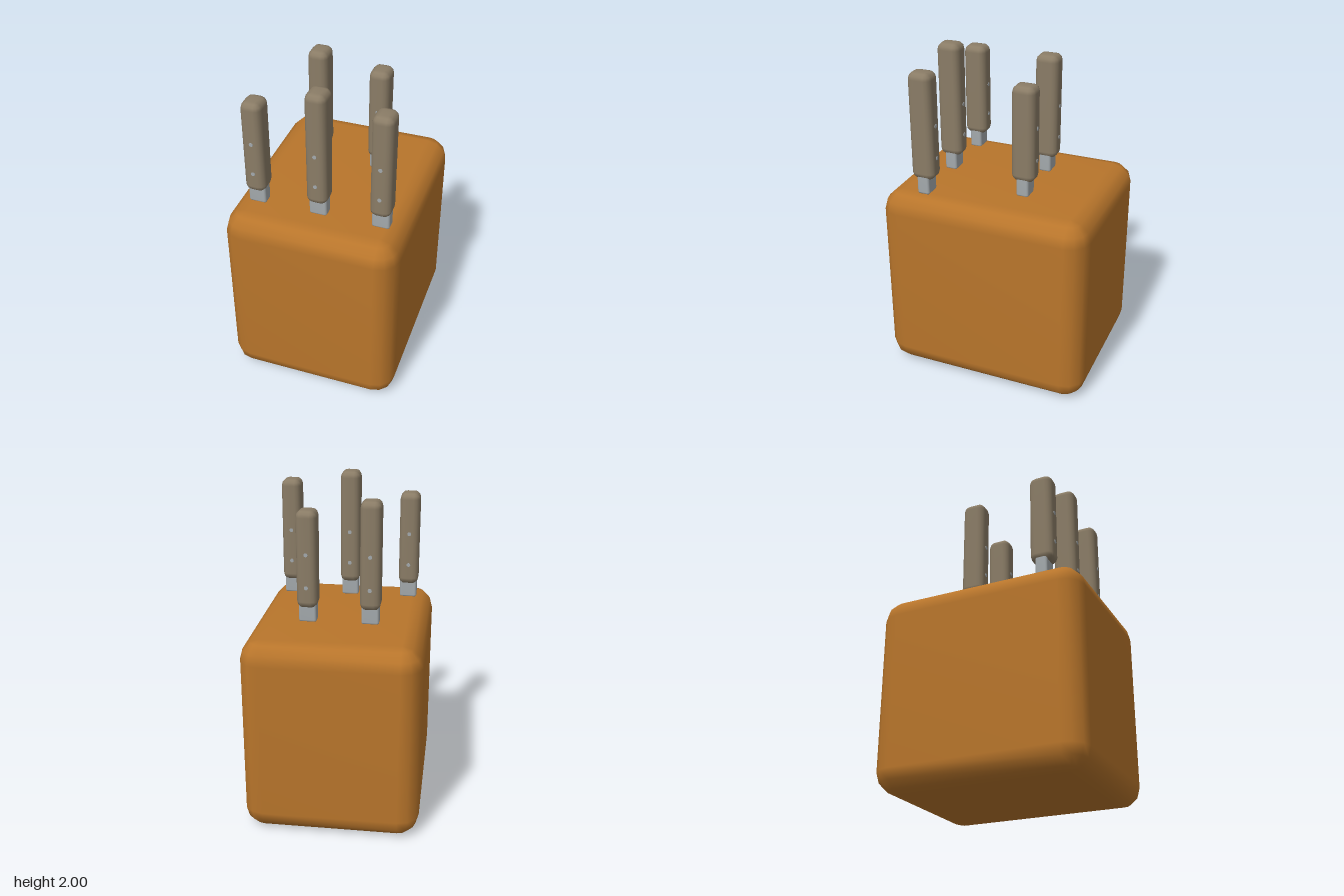
import * as THREE from 'three';
import { mergeVertices } from 'three/addons/utils/BufferGeometryUtils.js';

// Box with edges rounded in three steps: a sphere grid whose eight octants are moved apart.
function roundedBox(w, h, d, r) {
  const cols = 16, rows = 9;
  const geo = new THREE.SphereGeometry(1, cols, rows);
  const pos = geo.attributes.position;
  const quarter = Math.PI / 2;
  for (let i = 0; i <= rows; i++) {
    const top = i < 5;
    const theta = top ? (i - 1) * quarter / 3 : quarter + (i - 5) * quarter / 3;
    for (let j = 0; j <= cols; j++) {
      const k = i * (cols + 1) + j;
      if (i === 0 || i === rows) {
        pos.setXYZ(k, 0, (top ? h : -h) / 2, 0); // centre of the flat cap
        continue;
      }
      const q = Math.floor((j % cols) / 4);
      const phi = q * quarter + (j % 4) * quarter / 3;
      const mid = (q + 0.5) * quarter;
      pos.setXYZ(k,
        -Math.sign(Math.cos(mid)) * (w / 2 - r) - Math.cos(phi) * Math.sin(theta) * r,
        (top ? 1 : -1) * (h / 2 - r) + Math.cos(theta) * r,
        Math.sign(Math.sin(mid)) * (d / 2 - r) + Math.sin(phi) * Math.sin(theta) * r);
    }
  }
  geo.deleteAttribute('normal');
  geo.deleteAttribute('uv');
  const merged = mergeVertices(geo, 1e-4);
  merged.computeVertexNormals();
  return merged;
}

function material(name, color) {
  const m = new THREE.MeshStandardMaterial({ color });
  m.name = name;
  return m;
}

export function createModel() {
  const wood = material('warm wood', 0xb8752b);
  const grip = material('grey brown grip', 0x8a7c66);
  const steel = material('steel', 0xa3a9ac);

  const model = new THREE.Group();
  model.name = 'knifeBlock';

  function add(parent, name, geometry, mat, x, y, z) {
    const mesh = new THREE.Mesh(geometry, mat);
    mesh.name = name;
    mesh.position.set(x, y, z);
    parent.add(mesh);
    return mesh;
  }

  add(model, 'block', roundedBox(1.055, 1.2, 1.29, 0.125), wood, 0, 0.6, 0);

  // Knives: x, z and top height
  const knives = [
    [-0.375, 0.387, 1.875],
    [0, 0.387, 2.0],
    [0.375, 0.387, 1.94],
    [-0.1875, -0.163, 1.94],
    [0.1875, -0.163, 1.875],
  ];
  const bottom = 1.29;
  const bolsterGeo = roundedBox(0.106, 0.13, 0.076, 0.014);
  const rivetGeo = new THREE.CylinderGeometry(0.012, 0.012, 0.15, 12).rotateX(Math.PI / 2);

  for (const [x, z, top] of knives) {
    const knife = new THREE.Group();
    knife.name = 'knife';
    knife.position.set(x, 0, z);
    model.add(knife);
    add(knife, 'handle', roundedBox(0.124, top - bottom, 0.144, 0.04), grip, 0, (top + bottom) / 2, 0);
    add(knife, 'bladeNeck', bolsterGeo, steel, 0, 1.26, 0);
    for (const y of [1.42, 1.62]) add(knife, 'rivet', rivetGeo, steel, 0, y, 0);
  }
  return model;
}
